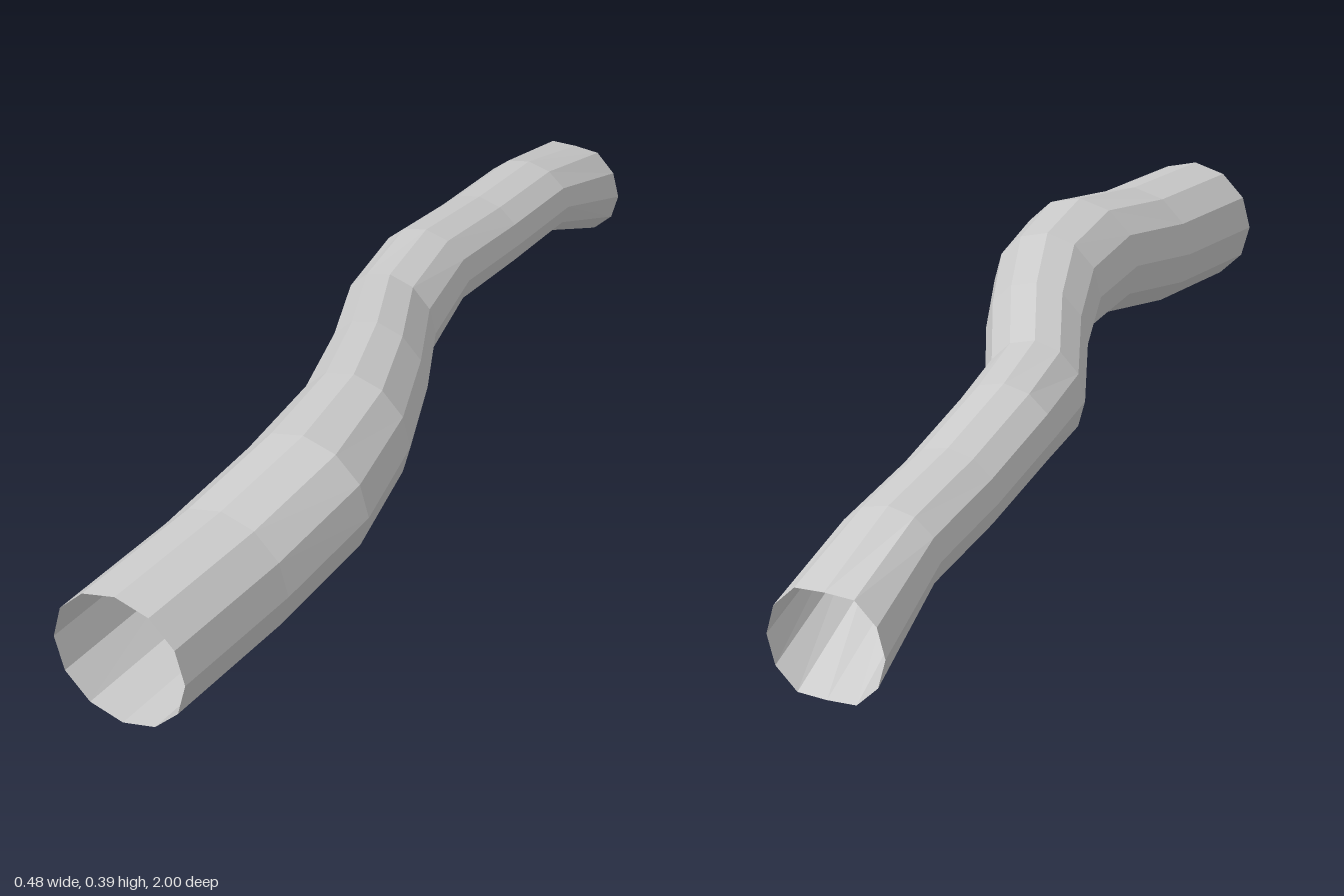
import * as THREE from 'three';

const SIDES = 12;

// Rings along the pipe: z, centre x, centre y, half width, half height, flattening of top and bottom
const RINGS = [
  [1.0, 0.047, 0.209, 0.132, 0.132, 1],
  [0.73, 0.078, 0.225, 0.132, 0.131, 1],
  [0.51, 0.106, 0.263, 0.132, 0.128, 1],
  [0.29, 0.077, 0.268, 0.118, 0.118, 1],
  [0.08, 0.002, 0.25, 0.109, 0.11, 1],
  [-0.13, -0.093, 0.223, 0.103, 0.104, 1],
  [-0.33, -0.126, 0.229, 0.1, 0.089, 1],
  [-0.56, -0.13, 0.196, 0.098, 0.085, 1],
  [-0.78, -0.13, 0.177, 0.098, 0.083, 1],
  [-1.0, -0.129, 0.099, 0.11, 0.109, 0.89],
];

// Open skin through all the rings
function pipeGeometry() {
  const positions = [];
  const index = [];
  for (const [z, cx, cy, rx, ry, flat] of RINGS) {
    for (let i = 0; i < SIDES; i++) {
      const a = (i / SIDES) * Math.PI * 2;
      const s = THREE.MathUtils.clamp(Math.sin(a), -flat, flat);
      positions.push(cx + rx * Math.cos(a), cy + ry * s, z);
    }
  }
  for (let r = 0; r < RINGS.length - 1; r++) {
    for (let i = 0; i < SIDES; i++) {
      const a = r * SIDES + i;
      const b = r * SIDES + ((i + 1) % SIDES);
      index.push(a, a + SIDES, b, b, a + SIDES, b + SIDES);
    }
  }
  const geometry = new THREE.BufferGeometry();
  geometry.setAttribute('position', new THREE.Float32BufferAttribute(positions, 3));
  geometry.setIndex(index);
  const faceted = geometry.toNonIndexed();
  faceted.computeVertexNormals();
  return faceted;
}

export function createModel() {
  const group = new THREE.Group();
  group.name = 'bentPipe';
  const material = new THREE.MeshStandardMaterial({
    color: 0xcccccc,
    flatShading: true,
    side: THREE.DoubleSide,
  });
  const pipe = new THREE.Mesh(pipeGeometry(), material);
  pipe.name = 'pipe';
  group.add(pipe);
  return group;
}
